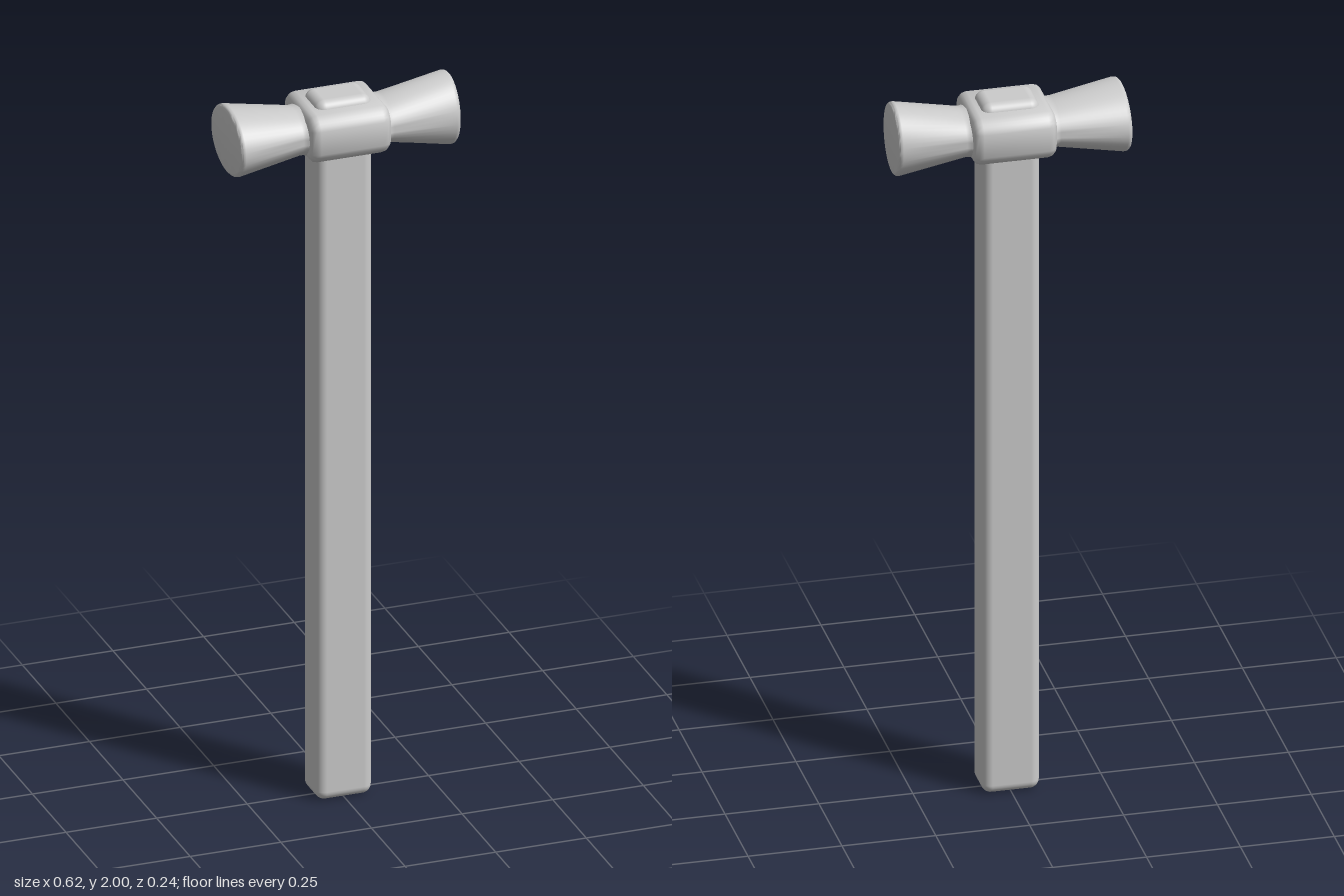
import * as THREE from 'three';
import { toCreasedNormals } from 'three/addons/utils/BufferGeometryUtils.js';
import { RoundedBoxGeometry } from 'three/addons/geometries/RoundedBoxGeometry.js';

// Elliptical sections [x, half height, half depth] joined along +x; a zero section closes the end
function loft(sections, sides = 48) {
  const pos = [], index = [];
  for (const [x, ry, rz] of sections) {
    for (let i = 0; i < sides; i++) {
      const a = (i / sides) * Math.PI * 2;
      pos.push(x, Math.cos(a) * ry, Math.sin(a) * rz);
    }
  }
  for (let s = 0; s < sections.length - 1; s++) {
    for (let i = 0; i < sides; i++) {
      const j = (i + 1) % sides;
      const a = s * sides + i, b = s * sides + j, c = a + sides, d = b + sides;
      index.push(a, b, c, b, d, c);
    }
  }
  const geo = new THREE.BufferGeometry();
  geo.setAttribute('position', new THREE.Float32BufferAttribute(pos, 3));
  geo.setIndex(index);
  return geo;
}

// Block section in the depth/height plane: a rectangle with cut, softened corners
function blockShape(hw, hh, cut) {
  const s = new THREE.Shape();
  const soft = cut * 0.3;
  s.moveTo(-hw + cut, -hh);
  s.lineTo(hw - cut, -hh);
  s.quadraticCurveTo(hw - soft, -hh + soft, hw, -hh + cut);
  s.lineTo(hw, hh - cut);
  s.quadraticCurveTo(hw - soft, hh - soft, hw - cut, hh);
  s.lineTo(-hw + cut, hh);
  s.quadraticCurveTo(-hw + soft, hh - soft, -hw, hh - cut);
  s.lineTo(-hw, -hh + cut);
  s.quadraticCurveTo(-hw + soft, -hh + soft, -hw + cut, -hh);
  return s;
}

export function createModel() {
  const model = new THREE.Group();
  const material = new THREE.MeshStandardMaterial({ color: 0xcccccc });
  const add = (name, geometry, y) => {
    const mesh = new THREE.Mesh(geometry, material);
    mesh.name = name;
    mesh.position.y = y;
    model.add(mesh);
    return mesh;
  };

  // Handle runs through the head and shows as a peg on top
  add('handle', new RoundedBoxGeometry(0.154, 1.993, 0.117, 5, 0.026), 1.993 / 2);

  // Central block with bevelled ends
  const bevel = 0.024, length = 0.222 - 2 * bevel;
  const block = new THREE.ExtrudeGeometry(blockShape(0.115 - bevel, 0.067 - bevel, 0.016), {
    depth: length, bevelThickness: bevel, bevelSize: bevel, bevelSegments: 3, curveSegments: 5,
  });
  block.translate(0, 0, -length / 2);
  block.rotateY(Math.PI / 2);
  add('headBlock', toCreasedNormals(block, 0.7), 1.907);

  // Flared horns: a round striking face on the left, a wide oval one on the right
  const horn = (endY, endZ) => toCreasedNormals(loft([
    [0.085, 0.064, 0.105],
    [0.108, 0.062, 0.093],
    [0.115, 0.061, 0.088],
    [0.125, 0.062, 0.086],
    [0.296, endY, endZ],
    [0.303, endY - 0.001, endZ - 0.001],
    [0.307, endY - 0.005, endZ - 0.005],
    [0.308, endY - 0.010, endZ - 0.010],
    [0.308, 0, 0],
  ]), 0.7);
  add('leftHorn', horn(0.099, 0.091), 1.901);
  add('rightHorn', horn(0.092, 0.119), 1.902).rotation.y = Math.PI;

  return model;
}
